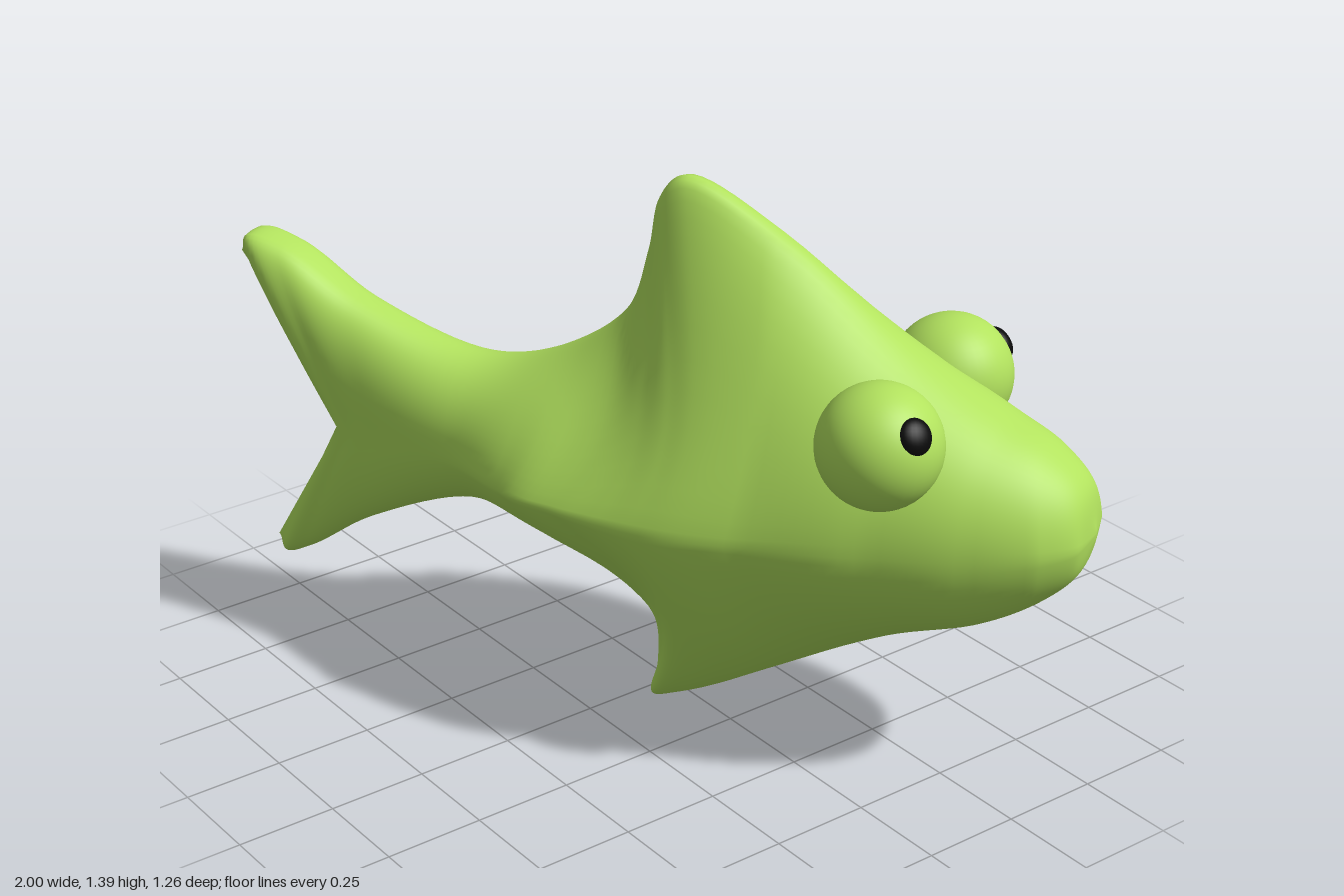
import * as THREE from 'three';

const green = new THREE.MeshStandardMaterial({ color: 0xb2e25e });
const black = new THREE.MeshStandardMaterial({ color: 0x0a0a0a });

// Body stations from nose to tail: back edge x, y; belly edge x, y; flank x,
// half width, and pinch of back and belly (1 = oval section, more = drawn out into a fin)
const stations = [
  [1.09, .67, 1.09, .65, 1.09, 0, .9, .9],
  [1.06, .78, 1.06, .56, 1.075, .1, .9, .9],
  [.97, .86, .98, .48, 1, .18, .95, .95],
  [.85, .92, .85, .4, .85, .245, 1, 1],
  [.63, 1.04, .64, .32, .62, .305, 1.15, 1.2],
  [.3, 1.28, .3, .14, .33, .355, 2, 1.8],
  [.06, 1.39, .05, .02, .15, .38, 3.5, 2.2],
  [0, 1.34, -.02, 0, .06, .375, 3.8, 2.4],
  [-.03, 1.2, 0, .1, -.04, .36, 3.5, 2.6],
  [-.09, 1.03, -.01, .24, -.15, .335, 2.5, 2.2],
  [-.3, .88, -.25, .4, -.32, .275, 1.4, 1.3],
  [-.5, .835, -.46, .455, -.5, .18, 1.1, 1.1],
  [-.82, .93, -.8, .33, -.72, .13, .8, .8],
  [-1.02, 1.045, -.99, .205, -.81, .115, .6, .6],
  [-1.13, 1.06, -1.07, .175, -.86, .095, .5, .5],
  [-1.165, 1, -1.11, .2, -.88, 0, .5, .5],
];

function bodyGeometry(rings = 126, sides = 64) {
  const track = pick => new THREE.CatmullRomCurve3(
    stations.map(r => new THREE.Vector3(...pick(r))));
  const back = track(r => [r[0], r[1], 0]);
  const belly = track(r => [r[2], r[3], 0]);
  const flank = track(r => [r[4], .63 + .03 * r[4], 0]);
  const shape = track(r => [r[5], r[6], r[7]]);
  const pos = [], index = [];
  for (let i = 0; i <= rings; i++) {
    const u = i / rings;
    const mid = flank.getPoint(u), form = shape.getPoint(u);
    const top = back.getPoint(u), bottom = belly.getPoint(u);
    for (let j = 0; j < sides; j++) {
      const a = (j / sides) * Math.PI * 2, c = Math.cos(a), s = Math.sin(a);
      const upper = s >= 0, pinch = upper ? form.y : form.z;
      const v = Math.abs(s) ** Math.min(1.5, (1 + pinch) / 2);
      const p = mid.clone().lerp(upper ? top : bottom, v);
      // A pinched section keeps a blunt, rounded fin edge
      const blunt = (upper ? .24 : .55) * THREE.MathUtils.clamp(pinch - 1, 0, 1);
      const cut = Math.abs(c);
      const w = Math.max(form.x, 0) * ((1 - blunt) * cut ** pinch + blunt * cut ** .65);
      // The rear faces of the fins bow forward at their sides
      const bow = 3.5 * v * w * w * Math.exp(-((p.x / .3) ** 2));
      pos.push(p.x + bow, p.y, Math.sign(c) * w);
      if (i < rings) {
        const k = i * sides + j, n = i * sides + (j + 1) % sides;
        index.push(k, n, k + sides, n, n + sides, k + sides);
      }
    }
  }
  const g = new THREE.BufferGeometry();
  g.setAttribute('position', new THREE.Float32BufferAttribute(pos, 3));
  g.setIndex(index);
  g.computeVertexNormals();
  return g;
}

function part(name, geometry, material, parent) {
  const m = new THREE.Mesh(geometry, material);
  m.name = name;
  parent.add(m);
  return m;
}

export function createModel() {
  const model = new THREE.Group();
  model.name = 'fish';

  // The fish is built along x, then turned to swim diagonally
  const fish = new THREE.Group();
  fish.name = 'turnedFish';
  fish.rotation.y = .513;
  fish.position.set(.02, 0, .035);
  model.add(fish);

  // Body with fins and forked tail in one skin
  part('body', bodyGeometry(), green, fish);

  // Bulging eyes, with flattened pupils looking forward and outward
  for (const [side, x, out] of [[1, .63, .06], [-1, .655, .1]]) {
    const eye = part(side > 0 ? 'rightEye' : 'leftEye', new THREE.SphereGeometry(.15, 40, 28), green, fish);
    eye.position.set(x, .898, side * .218);
    const look = new THREE.Vector3(.1, .068, side * out).normalize();
    const pupil = part('pupil', new THREE.SphereGeometry(.044, 24, 16), black, eye);
    pupil.scale.z = .6;
    pupil.position.copy(look).multiplyScalar(.138);
    pupil.quaternion.setFromUnitVectors(new THREE.Vector3(0, 0, 1), look);
  }
  return model;
}
